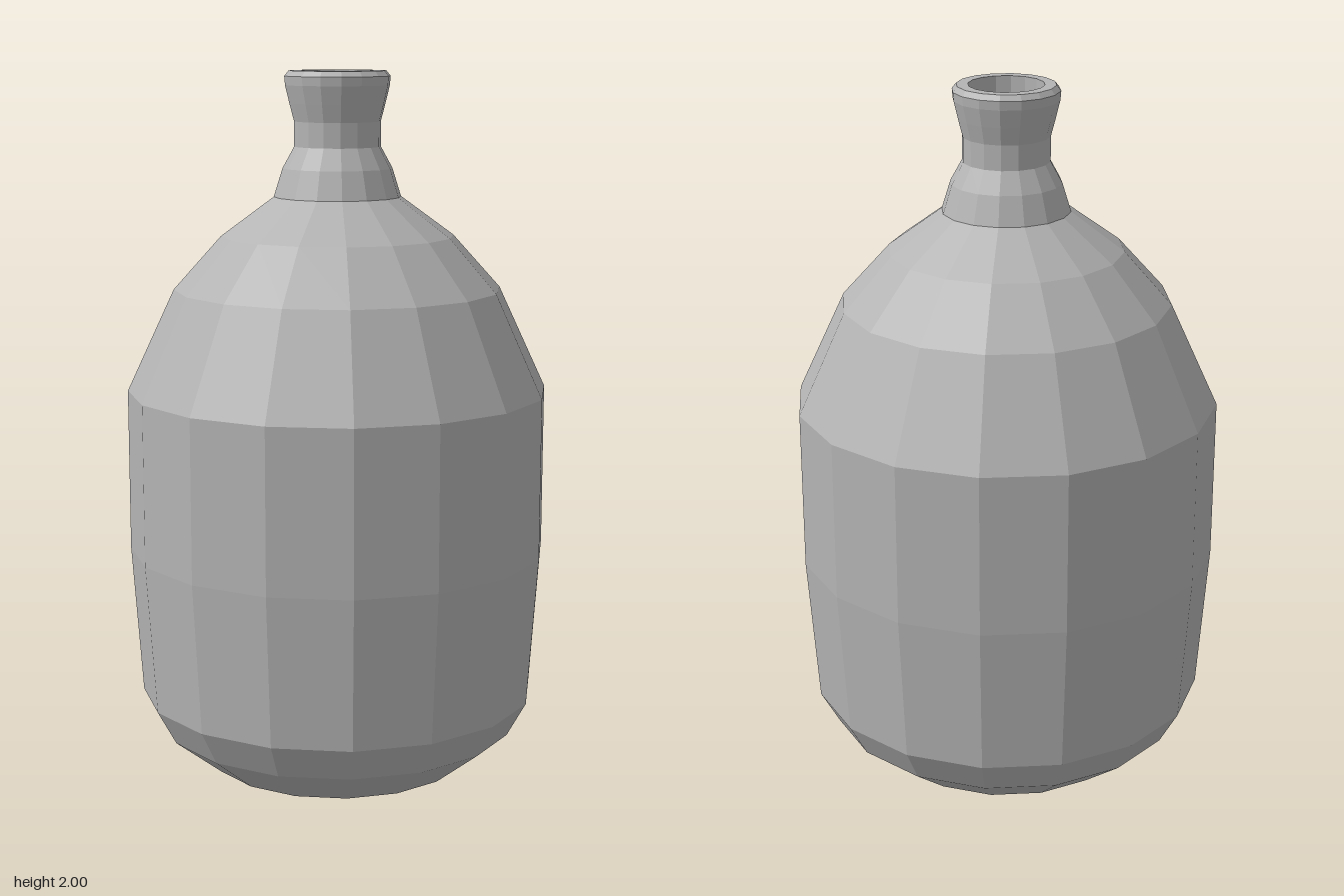
import * as THREE from 'three';

const SIDES = 16;

// Turn a [radius, height] profile, listed from bottom to top on the outside
function turned(name, profile, material) {
  const points = profile.map(([r, y]) => new THREE.Vector2(r, y));
  const mesh = new THREE.Mesh(new THREE.LatheGeometry(points, SIDES), material);
  mesh.name = name;
  return mesh;
}

export function createModel() {
  const group = new THREE.Group();
  group.name = 'bottle';
  const grey = new THREE.MeshStandardMaterial({ color: 0xb4b4b4, flatShading: true });
  grey.name = 'grey';

  // Closed base, chamfered foot, straight wall and rounded shoulder
  group.add(turned('body', [
    [0, 0], [0.375, 0], [0.515, 0.11], [0.57, 0.21], [0.6, 0.64],
    [0.6, 1.1], [0.465, 1.39], [0.33, 1.54], [0.18, 1.65],
  ], grey));

  // Flared collar, pinched neck and lip
  group.add(turned('neck', [
    [0.18, 1.65], [0.155, 1.73], [0.122, 1.79], [0.122, 1.86],
    [0.135, 1.91], [0.147, 1.96],
  ], grey));
  group.add(turned('lip', [
    [0.147, 1.96], [0.149, 1.985], [0.137, 2], [0.105, 2],
  ], grey));

  // Inside of the mouth
  group.add(turned('mouth', [[0.105, 2], [0.105, 1.75], [0, 1.75]], grey));

  return group;
}
